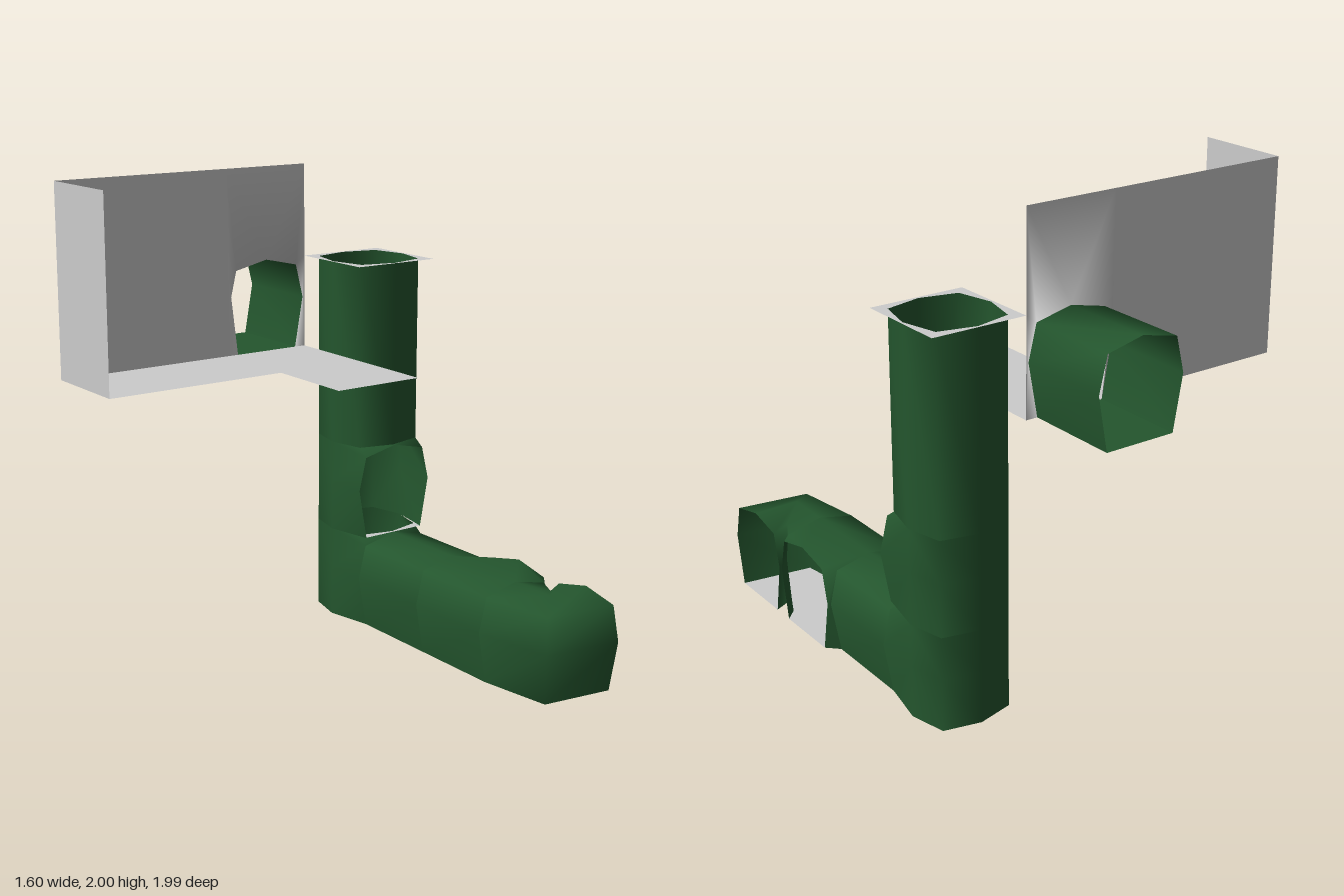
import * as THREE from 'three';
import { mergeGeometries, mergeVertices } from 'three/addons/utils/BufferGeometryUtils.js';

const V = (x, y, z) => new THREE.Vector3(x, y, z);

// Half of the tunnel cross-section: [sideways, height]
const ARCH = [[0.15, 0], [0.19, 0.22], [0.155, 0.365], [0, 0.4],
  [-0.155, 0.365], [-0.19, 0.22], [-0.15, 0]];

// Arch section at a point, facing angle a (0 = +z, PI/2 = +x)
function arch(x, y, z, a = 0) {
  return ARCH.map(([s, h]) => V(x + s * Math.cos(a), y + h, z - s * Math.sin(a)));
}

// Octagonal shaft section, from the +x side round the back; count = points
function octagon(y, count = 9) {
  const pts = [];
  for (let i = 0; i < count; i++) {
    const a = i * Math.PI / 4;
    const r = i % 2 ? 0.217 : 0.19;
    pts.push(V(0.6 + r * Math.cos(a), y, -0.4 - r * Math.sin(a)));
  }
  return pts;
}

const pick = (list, ids) => ids.map((i) => list[i]);

// Skin through a row of sections
function loft(rings) {
  const pos = [], idx = [], n = rings[0].length;
  rings.forEach((r) => r.forEach((p) => pos.push(p.x, p.y, p.z)));
  for (let k = 0; k < rings.length - 1; k++) {
    for (let i = 0; i < n - 1; i++) {
      const a = k * n + i, b = a + n;
      idx.push(a, a + 1, b, a + 1, b + 1, b);
    }
  }
  const g = new THREE.BufferGeometry();
  g.setAttribute('position', new THREE.Float32BufferAttribute(pos, 3));
  g.setIndex(idx);
  return g;
}

// Join skins and smooth across their shared corners
function smooth(...parts) {
  const g = mergeVertices(mergeGeometries(parts), 1e-4);
  g.computeVertexNormals();
  return g;
}

// Flat horizontal plate from [x, z] points
function plate(points, y, hole) {
  const toV2 = (p) => new THREE.Vector2(p[0], -p[1]);
  const s = new THREE.Shape(points.map(toV2));
  if (hole) s.holes.push(new THREE.Path(hole.map(toV2)));
  return new THREE.ShapeGeometry(s).rotateX(-Math.PI / 2).translate(0, y, 0);
}

const rect = (x0, x1, z0, z1) => [[x0, z0], [x1, z0], [x1, z1], [x0, z1]];

export function createModel() {
  const group = new THREE.Group();
  const stone = new THREE.MeshStandardMaterial({ color: 0xcccccc, side: THREE.DoubleSide });
  stone.name = 'pale grey';
  const green = new THREE.MeshStandardMaterial({ color: 0x24562e, side: THREE.DoubleSide });
  green.name = 'dark green';
  const add = (name, geometry, material) => {
    const m = new THREE.Mesh(geometry, material);
    m.name = name;
    group.add(m);
  };

  // Vertical shaft
  add('upperShaft', smooth(loft([octagon(0.8), octagon(1.6)])), green);

  // Two shaft cells, each with an arched opening towards the front
  for (const y of [0, 0.4]) {
    const top = octagon(y + 0.4);
    const side = (s, h) => V(0.6 + s * 0.19, y + h, -0.4);
    const frame = [side(1, 0), side(1, 0.22), top[0], top[7], top[6], top[5],
      top[4], side(-1, 0.22), side(-1, 0)];
    const opening = pick(arch(0.6, y, -0.2), [0, 1, 2, 2, 3, 4, 4, 5, 6]);
    add(y ? 'shaftWindow' : 'shaftBase', smooth(
      loft([octagon(y, 5), octagon(y + 0.22, 5), octagon(y + 0.4, 5)]),
      loft([frame, opening])), green);
  }

  // Straight tunnel
  add('straightTunnel', smooth(loft([arch(0.6, 0, -0.2), arch(0.6, 0, 0.2)])), green);

  // Tunnel junction with a side opening
  const near = arch(0.6, 0, 0.2), far = arch(0.6, 0, 0.6);
  const doorway = pick(arch(0.8, 0, 0.4, Math.PI / 2), [0, 1, 2, 3, 3, 4, 5, 6]);
  add('junctionTunnel', smooth(
    loft([near.slice(3), far.slice(3)]),
    loft([[...near.slice(0, 4), ...far.slice(0, 4).reverse()], doorway])), green);

  // Corner tunnel
  add('cornerTunnel', smooth(loft([far, arch(0.6, 0, 0.8, Math.PI / 4),
    arch(0.8, 0, 0.8, Math.PI / 2)])), green);

  // Floor below the shaft and tunnels
  const ring = octagon(0).map((p) => [p.x, p.z]);
  add('tunnelFloor', plate([...ring.slice(0, 5).reverse(), [0.75, -0.2], [0.75, 0.2],
    [0.8, 0.25], [0.8, 0.55], [0.75, 0.6], [0.706, 0.694], [0.8, 0.65], [0.8, 0.95],
    [0.494, 0.906], [0.45, 0.6], [0.45, -0.2]], 0), stone);

  // Sill of the shaft window
  add('windowSill', plate([...ring.slice(4, 9), [0.75, -0.2], [0.45, -0.2]], 0.402), stone);

  // Plate round the shaft mouth
  add('shaftMouth', plate(rect(0.4, 0.8, -0.6, -0.2), 1.6, ring.slice(0, 8)), stone);

  // Room wall pierced by the rear tunnel, smoothed into it
  const ids = [0, 1, 2, 3, 3, 4, 5, 6];
  const outline = [[0, 1.2], [0, 1.6], [0, 2], [0, 2], [0.4, 2], [0.4, 2], [0.4, 1.6], [0.4, 1.2]]
    .map(([x, y]) => V(x, y, -0.6));
  const entrance = smooth(loft([outline,
    pick(arch(0.2, 1.2, -0.6, Math.PI), ids), pick(arch(0.2, 1.2, -1, Math.PI), ids)]));
  entrance.addGroup(0, 42, 0);
  entrance.addGroup(42, 42, 1);
  add('rearTunnelAndDoorWall', entrance, [stone, green]);
  add('rearTunnelFloor', plate(rect(0.05, 0.35, -1, -0.6), 1.2), green);

  // Open room: back wall, end wall and floor
  add('backWall', new THREE.PlaneGeometry(0.8, 0.8).translate(-0.4, 1.6, -0.6), stone);
  add('endWall', new THREE.PlaneGeometry(0.4, 0.8).rotateY(Math.PI / 2)
    .translate(-0.8, 1.6, -0.4), stone);
  add('roomFloor', plate([[-0.8, -0.6], [0.4, -0.6], [0.4, 0.2], [0, 0.2],
    [0, -0.2], [-0.8, -0.2]], 1.2), stone);

  return group;
}
